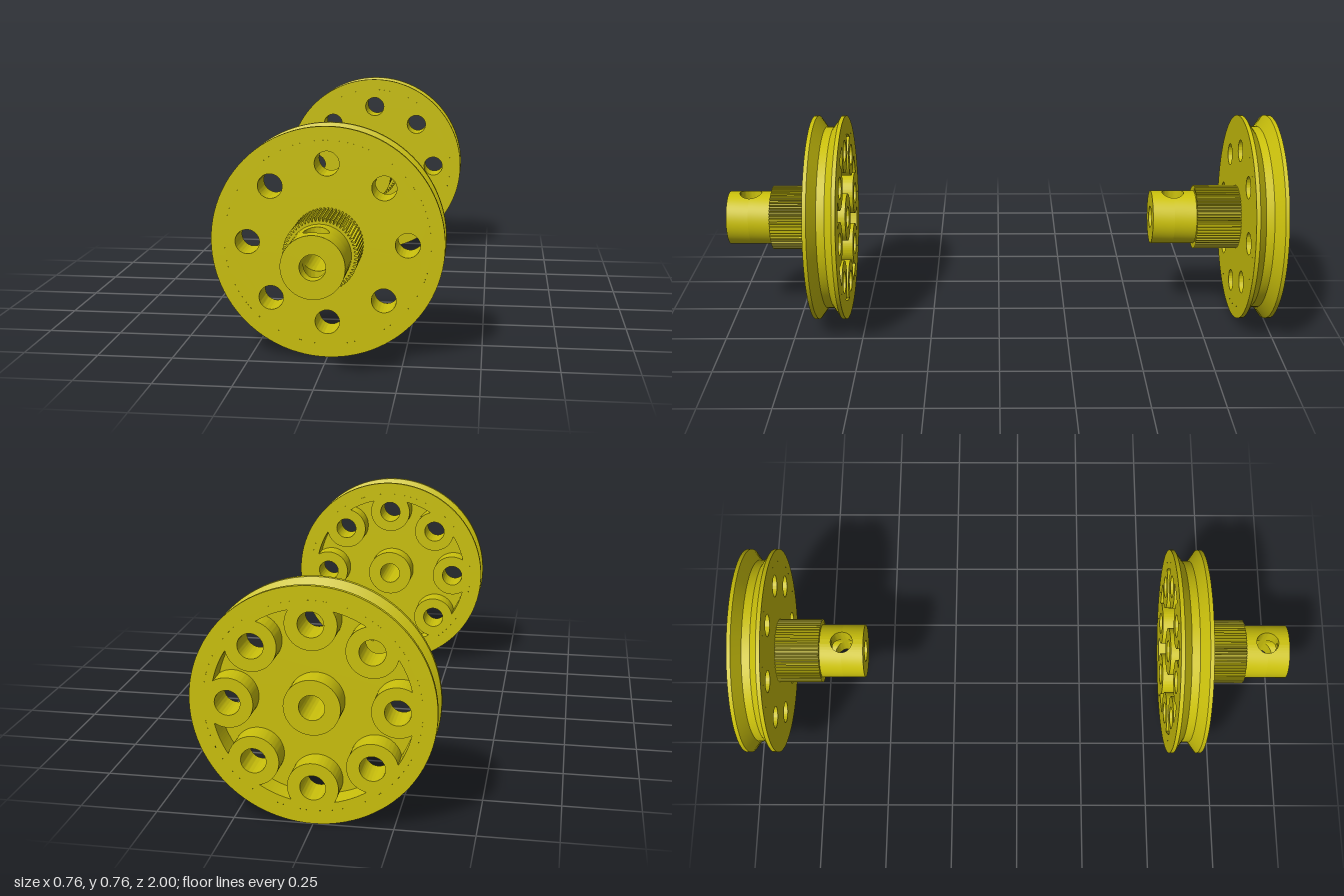
import * as THREE from 'three';
import { toCreasedNormals } from 'three/addons/utils/BufferGeometryUtils.js';

const TAU = Math.PI * 2;
const R = 0.379;            // wheel radius
const CORE = 0.335;         // radius at the bottom of the groove
const THICK = 0.115;        // wheel thickness
const FLOOR = 0.075;        // depth of the rear pocket
const GEAR_END = 0.275, HUB_END = 0.435;
const HUB_R = 0.098, BORE = 0.04, CROSS_Z = 0.355;
const BOLT_RING = 0.26, BOSS_R = 0.08, POCKET_R = 0.31;

const material = new THREE.MeshStandardMaterial({ color: 0xccc20c });

function mesh(name, geometry, z = 0) {
  const m = new THREE.Mesh(toCreasedNormals(geometry, 0.5), material);
  m.name = name;
  m.position.z = z;
  return m;
}

function circle(x, y, r, Type = THREE.Path) {
  return new Type().absarc(x, y, r, 0, TAU, false);
}

function extrude(shape, depth) {
  return new THREE.ExtrudeGeometry(shape, { depth, bevelEnabled: false, curveSegments: 40 });
}

function addBoltHoles(shape) {
  for (let k = 0; k < 8; k++) {
    const a = k * TAU / 8;
    shape.holes.push(circle(BOLT_RING * Math.cos(a), BOLT_RING * Math.sin(a), BORE));
  }
}

// Rear pocket outline: a circle bitten into by the eight bosses
function pocketPath() {
  const x = (POCKET_R ** 2 + BOLT_RING ** 2 - BOSS_R ** 2) / (2 * BOLT_RING);
  const phi = Math.acos(x / POCKET_R);
  const beta = Math.atan2(POCKET_R * Math.sin(phi), x - BOLT_RING);
  const path = new THREE.Path();
  for (let k = 0; k < 8; k++) {
    const a = k * TAU / 8;
    path.absarc(BOLT_RING * Math.cos(a), BOLT_RING * Math.sin(a), BOSS_R, a - beta, a + beta, true);
    path.absarc(0, 0, POCKET_R, a + phi, a + TAU / 8 - phi, false);
  }
  return path;
}

// Gear outline with trapezoidal teeth
function gearShape(teeth, root, tip) {
  const pts = [];
  for (let i = 0; i < teeth; i++) {
    for (const [f, r] of [[0, root], [0.25, root], [0.42, tip], [0.83, tip]]) {
      const a = (i + f) * TAU / teeth;
      pts.push(new THREE.Vector2(r * Math.cos(a), r * Math.sin(a)));
    }
  }
  return new THREE.Shape(pts);
}

// Closed band of quads between two loops that share the same parameter list
function band(params, loopA, loopB) {
  const pos = [];
  params.forEach((p, i) => {
    const q = params[(i + 1) % params.length];
    const a = loopA(p), b = loopA(q), c = loopB(q), d = loopB(p);
    pos.push(...a, ...b, ...c, ...a, ...c, ...d);
  });
  const g = new THREE.BufferGeometry();
  g.setAttribute('position', new THREE.Float32BufferAttribute(pos, 3));
  return g;
}

// Hub with a lengthwise bore and a cross hole of the same radius
function createHub() {
  const hub = new THREE.Group();
  hub.name = 'hub';
  const even = Array.from({ length: 64 }, (_, i) => i * TAU / 64);
  const start = Math.acos(BORE / HUB_R);
  const outer = [];
  for (const turn of [0, Math.PI]) {
    for (let i = 0; i < 32; i++) outer.push(turn + Math.acos(BORE * Math.cos(i * Math.PI / 32) / HUB_R));
    for (let i = 0; i < 20; i++) outer.push(turn + Math.PI - start + 2 * start * i / 20);
  }
  const ring = (r, z) => a => [r * Math.cos(a), r * Math.sin(a), z];
  // Loop that follows the edge of the cross hole on a cylinder of radius r
  const edge = (r, side) => a => {
    const x = r * Math.cos(a);
    return [x, r * Math.sin(a), CROSS_Z + side * Math.sqrt(Math.max(0, BORE ** 2 - x * x))];
  };
  hub.add(
    mesh('hubOuterRear', band(outer, ring(HUB_R, GEAR_END), edge(HUB_R, -1))),
    mesh('hubOuterFront', band(outer, edge(HUB_R, 1), ring(HUB_R, HUB_END))),
    mesh('boreRear', band(even, edge(BORE, -1), ring(BORE, GEAR_END))),
    mesh('boreFront', band(even, ring(BORE, HUB_END), edge(BORE, 1))),
    mesh('hubEndFace', band(even, ring(HUB_R, HUB_END), ring(BORE, HUB_END)))
  );
  // Walls of the cross hole, above and below the bore
  for (const s of [1, -1]) {
    const inner = t => [BORE * Math.cos(t), s * BORE * Math.abs(Math.sin(t)), CROSS_Z + BORE * Math.sin(t)];
    const outerEdge = t => {
      const x = BORE * Math.cos(t);
      return [x, s * Math.sqrt(HUB_R ** 2 - x * x), CROSS_Z + BORE * Math.sin(t)];
    };
    hub.add(mesh('crossHoleWall', s > 0 ? band(even, inner, outerEdge) : band(even, outerEdge, inner)));
  }
  return hub;
}

function createPulley() {
  const pulley = new THREE.Group();
  pulley.name = 'pulley';

  // Grooved rim
  const profile = [[CORE, 0], [R, 0], [R, 0.014], [0.338, 0.043], [0.338, 0.072], [R, 0.101], [R, THICK], [CORE, THICK]]
    .map(([r, z]) => new THREE.Vector2(r, z));
  pulley.add(mesh('groovedRim', new THREE.LatheGeometry(profile, 96).rotateX(Math.PI / 2)));

  // Front plate with bolt holes
  const plate = circle(0, 0, CORE, THREE.Shape);
  plate.holes.push(circle(0, 0, BORE));
  addBoltHoles(plate);
  pulley.add(mesh('frontPlate', extrude(plate, THICK - FLOOR), FLOOR));

  // Rear ring with bosses, and the central boss in the pocket
  const rear = circle(0, 0, CORE, THREE.Shape);
  rear.holes.push(pocketPath());
  addBoltHoles(rear);
  pulley.add(mesh('rearRingWithBosses', extrude(rear, FLOOR)));
  const boss = circle(0, 0, 0.088, THREE.Shape);
  boss.holes.push(circle(0, 0, BORE));
  pulley.add(mesh('centreBoss', extrude(boss, FLOOR)));

  // Toothed section
  const gear = gearShape(60, 0.107, 0.118);
  gear.holes.push(circle(0, 0, BORE));
  pulley.add(mesh('toothedGear', extrude(gear, GEAR_END - THICK), THICK));

  pulley.add(createHub());
  return pulley;
}

export function createModel() {
  const model = new THREE.Group();
  model.name = 'pulleyPair';
  for (const z of [-1, 1 - HUB_END]) {
    const pulley = createPulley();
    pulley.position.set(0, R, z);
    model.add(pulley);
  }
  return model;
}
